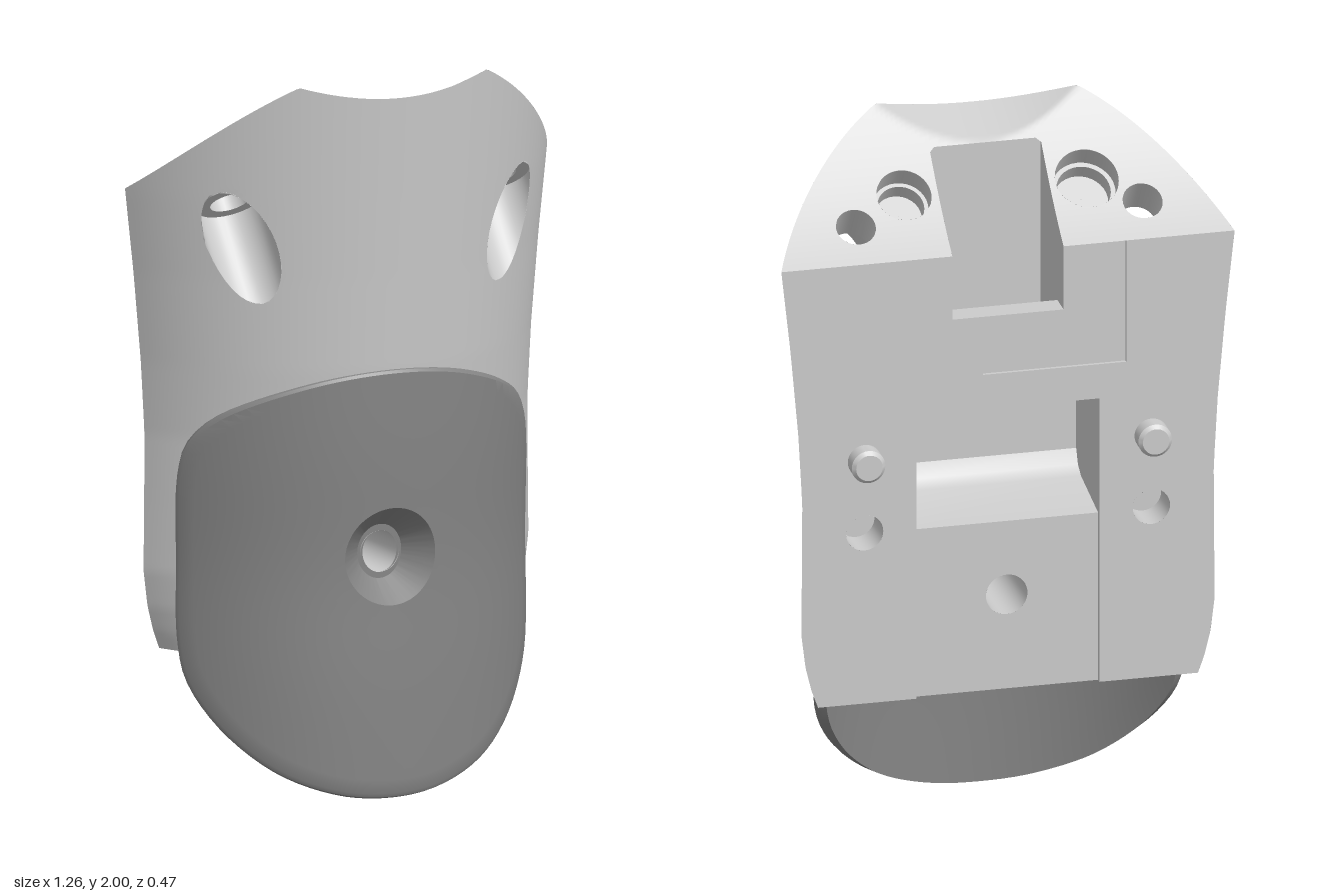
import * as THREE from 'three';
import { toCreasedNormals } from 'three/addons/utils/BufferGeometryUtils.js';

const V = (x, y, z) => new THREE.Vector3(x, y, z);
const range = (n, f) => Array.from({ length: n + 1 }, (_, i) => f(i / n));
const grey = new THREE.MeshStandardMaterial({ color: 0xcccccc, side: THREE.DoubleSide });
const dark = new THREE.MeshStandardMaterial({ color: 0x858585, side: THREE.DoubleSide });

const BACK = -0.18, PANEL = -0.165, BOTTOM = 0.4, BACK_TOP = 1.685;
const POCKET_X = 0.155, POCKET_Z = 0.085, WINDOW_X = 0.255;

// Linear lookup in a short table of [y, value]
function lookup(table, y) {
  let i = 1;
  while (i < table.length - 1 && table[i][0] < y) i++;
  const [a, b] = [table[i - 1], table[i]];
  return a[1] + ((b[1] - a[1]) * (y - a[0])) / (b[0] - a[0]);
}
const halfWidth = y => lookup([[0.4, 0.53], [0.45, 0.548], [0.52, 0.565], [0.62, 0.577], [0.8, 0.575],
  [1, 0.574], [1.2, 0.585], [1.45, 0.607], [1.68, 0.632], [2, 0.66]], y);
const crown = y => lookup([[0.4, 0.15], [1, 0.16], [1.2, 0.18], [1.45, 0.197], [1.68, 0.214], [2, 0.238]], y);

// Front of the body: a circular arc at every height; top: a curved slope with a shallow dip
function frontZ(x, y) {
  const w = halfWidth(y), sag = crown(y) - BACK, R = (w * w + sag * sag) / (2 * sag);
  return crown(y) - R + Math.sqrt(Math.max(0, R * R - x * x));
}
const topY = (x, z) => Math.min(1.82 + 0.875 * z + 0.69 * z * z, 1.87 + 0.38 * z + 0.8 * x * x);

// Upper rim, where the front meets the top
function rim(u) {
  let y = 1.8;
  for (let i = 0; i < 40; i++) {
    const x = u * halfWidth(y);
    y = topY(x, frontZ(x, y));
  }
  const x = u * halfWidth(y);
  return V(x, y, frontZ(x, y));
}

function build(points, index) {
  const g = new THREE.BufferGeometry().setFromPoints(points);
  g.setIndex(index);
  g.computeVertexNormals();
  return g;
}

// Skin over a series of equal-length loops
function loft(loops, crease = 0.6) {
  const n = loops[0].length, index = [];
  for (let i = 0; i < loops.length - 1; i++)
    for (let j = 0; j < n - 1; j++) {
      const a = i * n + j, b = a + n;
      index.push(a, b, b + 1, a, b + 1, a + 1);
    }
  return toCreasedNormals(build(loops.flat(), index), crease);
}

// Flat face from 2D corners, placed by a rule
function face(corners, place, holes = []) {
  const s = new THREE.Shape(corners.map(c => new THREE.Vector2(...c)));
  for (const [x, y, r] of holes) s.holes.push(new THREE.Path().absarc(x, y, r, 0, Math.PI * 2, true));
  const g = new THREE.ShapeGeometry(s, 20), p = g.attributes.position;
  for (let i = 0; i < p.count; i++) p.setXYZ(i, ...place(p.getX(i), p.getY(i)).toArray());
  g.computeVertexNormals();
  return g;
}

// Curved sheet with openings: points inside a cutter are pushed to its edge, faces inside are dropped
function sheet(nu, nv, at, snap, cutters) {
  const points = [], inside = [], index = [];
  for (let j = 0; j <= nv; j++)
    for (let i = 0; i <= nu; i++) {
      const p = at((2 * i) / nu - 1, j / nv);
      const cut = cutters.findIndex(c => c(p.clone()));
      if (cut >= 0) for (let k = 0; k < 10; k++) { cutters[cut](p); snap(p); }
      points.push(p);
      inside.push(cut >= 0);
    }
  const tri = (...t) => { if (!t.every(k => inside[k])) index.push(...t); };
  for (let j = 0; j < nv; j++)
    for (let i = 0; i < nu; i++) {
      const a = j * (nu + 1) + i, b = a + nu + 1;
      tri(a, a + 1, b + 1);
      tri(a, b + 1, b);
    }
  return build(points, index);
}
const drill = (o, a, r) => p => {
  const q = p.clone().sub(o);
  q.addScaledVector(a, -q.dot(a));
  const d = q.length();
  if (d >= r) return false;
  if (d < 1e-6) q.set(1e-6, 0, 0);
  p.addScaledVector(q, r / q.length() - 1);
  return true;
};
const pocketCut = p => {
  const dx = POCKET_X - Math.abs(p.x), dz = POCKET_Z - p.z;
  if (dx <= 0 || dz <= 0) return false;
  if (dx < dz) p.x = Math.sign(p.x || 1) * POCKET_X; else p.z = POCKET_Z;
  return true;
};

// Ring around an axis; its distance along the axis is a number or found on a surface
const ring = (o, a, r, t) => range(32, k => {
  const e1 = V(1, 0, 0).addScaledVector(a, -a.x).normalize(), e2 = a.clone().cross(e1), f = k * Math.PI * 2;
  const p = o.clone().addScaledVector(e1, r * Math.cos(f)).addScaledVector(e2, r * Math.sin(f));
  return p.clone().addScaledVector(a, typeof t === 'number' ? t : t(p, a));
});
const reach = (tin, tout, outside) => (p, a) => {
  let lo = tin, hi = tout;
  for (let i = 0; i < 24; i++) {
    const m = (lo + hi) / 2;
    if (outside(p.clone().addScaledVector(a, m))) hi = m; else lo = m;
  }
  return lo;
};
const toTop = reach(0.1, -0.2, p => p.y > topY(p.x, p.z));
const toFront = reach(0.12, 0.7, p => p.z > frontZ(p.x, p.y));

function makeBody() {
  const body = new THREE.Group();
  body.name = 'body';
  const add = (name, g) => {
    const m = new THREE.Mesh(g, grey);
    m.name = name;
    body.add(m);
  };
  const slant = V(0, -0.8, 0.6), inward = V(0, 0, 1), centre = V(0, 0.675, 0);
  const bolts = [-0.4, 0.4].map(x => V(x, 1.754, -0.08));
  const sockets = [[V(-0.26, 1.807, -0.015), 0.088], [V(0.25, 1.807, -0.015), 0.076]];

  // Outer skin
  add('frontShell', sheet(90, 90, (u, v) => {
    const y = BOTTOM + (rim(u).y - BOTTOM) * v, x = u * halfWidth(y);
    return V(x, y, frontZ(x, y));
  }, p => { p.z = frontZ(p.x, p.y); },
  [drill(centre, inward, 0.15), ...bolts.map(o => drill(o, slant, 0.092))]));
  add('topFace', sheet(110, 36, (u, v) => {
    const p = rim(u).lerp(V(u * halfWidth(BACK_TOP), 0, BACK), v);
    return p.setY(topY(p.x, p.z));
  }, p => { p.y = topY(p.x, p.z); },
  [pocketCut, ...bolts.map(o => drill(o, slant, 0.055)), ...sockets.map(([o, r]) => drill(o, slant, r))]));
  const side = range(24, k => BOTTOM + (BACK_TOP - BOTTOM) * k);
  const panelPath = [[-WINDOW_X, BOTTOM], [-WINDOW_X, 1.23], [WINDOW_X, 1.23], [WINDOW_X, BOTTOM]];
  const recessPath = [[POCKET_X, BACK_TOP], [POCKET_X, 1.5], [0.07, 1.5], [0.07, 1.33], [-0.33, 1.33], [-0.33, BACK_TOP]];
  add('backFace', face([...panelPath, ...side.map(y => [halfWidth(y), y]), ...recessPath,
    ...side.slice().reverse().map(y => [-halfWidth(y), y])], (x, y) => V(x, y, BACK), [[-0.4, 0.9, 0.052], [0.4, 0.9, 0.052]]));
  const w0 = halfWidth(BOTTOM);
  add('bottomFace', face([...range(40, k => [(2 * k - 1) * w0, frontZ((2 * k - 1) * w0, BOTTOM)]),
    [WINDOW_X, BACK], [WINDOW_X, PANEL], [-WINDOW_X, PANEL], [-WINDOW_X, BACK]], (x, z) => V(x, BOTTOM, z)));

  // Recessed back panel, window and shallow recess
  const at = (path, z) => path.map(([x, y]) => V(x, y, z));
  add('panelEdge', loft([at(panelPath, BACK), at(panelPath, PANEL)]));
  add('backPanel', face([[-WINDOW_X, BOTTOM], [WINDOW_X, BOTTOM], [WINDOW_X, 0.89], [-WINDOW_X, 0.89]],
    (x, y) => V(x, y, PANEL), [[0, 0.675, 0.058]]));
  const windowPath = low => [[WINDOW_X, 1.23], [WINDOW_X, low], [-WINDOW_X, low], [-WINDOW_X, 1.23]];
  add('windowWalls', loft([at(windowPath(0.89), PANEL), at(windowPath(0.92), 0.03), at(windowPath(0.94), 0.065),
    at(windowPath(0.98), POCKET_Z)]));
  add('windowEnd', face(windowPath(0.98), (x, y) => V(x, y, POCKET_Z)));
  add('windowCeiling', face([[-WINDOW_X, PANEL], [WINDOW_X, PANEL], [WINDOW_X, POCKET_Z], [POCKET_X, POCKET_Z],
    [POCKET_X, -0.11], [-POCKET_X, -0.11], [-POCKET_X, POCKET_Z], [-WINDOW_X, POCKET_Z]], (x, z) => V(x, 1.23, z)));
  add('recessFloor', face([[-0.33, 1.33], [0.07, 1.33], [0.07, 1.5], [-POCKET_X, 1.5], [-POCKET_X, BACK_TOP],
    [-0.33, BACK_TOP]], (x, y) => V(x, y, -0.17)));
  add('recessEdge', loft([at(recessPath.slice(2), BACK), at(recessPath.slice(2), -0.17)]));

  // Pocket running down from the top into the window
  for (const s of [-1, 1])
    add('pocketSide', face([[-0.11, 1.23], [POCKET_Z, 1.23],
      ...range(12, k => POCKET_Z + (BACK - POCKET_Z) * k).map(z => [z, topY(POCKET_X, z)]), [BACK, 1.5], [-0.11, 1.5]],
    (z, y) => V(s * POCKET_X, y, z)));
  const across = (y, z) => [V(-POCKET_X, y, z), V(POCKET_X, y, z)];
  add('pocketFront', loft([across(1.23, POCKET_Z), across(topY(0.15, POCKET_Z), POCKET_Z)]));
  add('pocketBack', loft([across(1.23, -0.11), across(1.5, -0.11), across(1.5, BACK)]));

  // Bolt holes, sockets, pegs and screw tunnel
  for (const o of bolts)
    add('boltHole', loft([ring(o, slant, 0.055, toTop), ring(o, slant, 0.055, 0.12),
      ring(o, slant, 0.092, 0.12), ring(o, slant, 0.092, toFront)]));
  for (const [o, r] of sockets)
    add('socket', loft([ring(o, slant, r, toTop), ring(o, slant, r, 0.06), ring(o, slant, r * 0.85, 0.06),
      ring(o, slant, r * 0.85, 0.11), ring(o, slant, 0.001, 0.11)]));
  for (const x of [-0.4, 0.4]) {
    const o = V(x, 0.9, BACK), q = V(x, 1.11, BACK);
    add('pegHole', loft([ring(o, inward, 0.052, 0), ring(o, inward, 0.052, 0.1), ring(o, inward, 0.001, 0.1)]));
    add('peg', loft([ring(q, inward, 0.047, 0), ring(q, inward, 0.047, -0.045), ring(q, inward, 0.037, -0.055),
      ring(q, inward, 0.001, -0.055)]));
  }
  add('screwTunnel', loft([ring(centre, inward, 0.058, PANEL), ring(centre, inward, 0.058, 0.1)]));
  return body;
}

// Curved front plate: loops from the countersink out to the rim and round to the back
function makePlate() {
  const R = 0.655, cy = 0.675;
  const half = [[0.15, 0.02], [0.3, 0.075], [0.4, 0.15], [0.47, 0.235], [0.515, 0.33], [0.53, 0.44], [0.53, 0.65],
    [0.53, 0.9], [0.513, 0.99], [0.465, 1.06], [0.38, 1.115], [0.2, 1.176]];
  const outline = new THREE.CatmullRomCurve3([V(0, 0.005, 0), ...half.map(([x, y]) => V(x, y, 0)), V(0, 1.197, 0),
    ...half.slice().reverse().map(([x, y]) => V(-x, y, 0))], true).getSpacedPoints(112);
  const loop = (r, t, depth) => outline.map(p => {
    const f = Math.atan2(p.y - cy, p.x);
    const q = V(r * Math.cos(f), cy + r * Math.sin(f), 0).lerp(p, t);
    const a = Math.asin(q.x / R), dip = 0.012 * Math.exp(-(((q.y - 0.65) / 0.25) ** 2));
    return V((R - depth) * Math.sin(a), q.y, 0.19 - R + (R - depth) * Math.cos(a) - dip);
  });
  const loops = [loop(0.058, 0, 0.08), loop(0.075, 0, 0.08), ...range(14, k => loop(0.135, k * 0.97, 0)),
    loop(0.135, 0.99, 0.005), loop(0.135, 1, 0.018), ...range(10, k => loop(0.15, 1 - k, 0.045))];
  const plate = new THREE.Mesh(loft(loops, 0.5), dark);
  plate.name = 'frontPlate';
  return plate;
}

export function createModel() {
  const model = new THREE.Group();
  model.name = 'mountingBlock';
  model.add(makeBody(), makePlate());
  return model;
}
